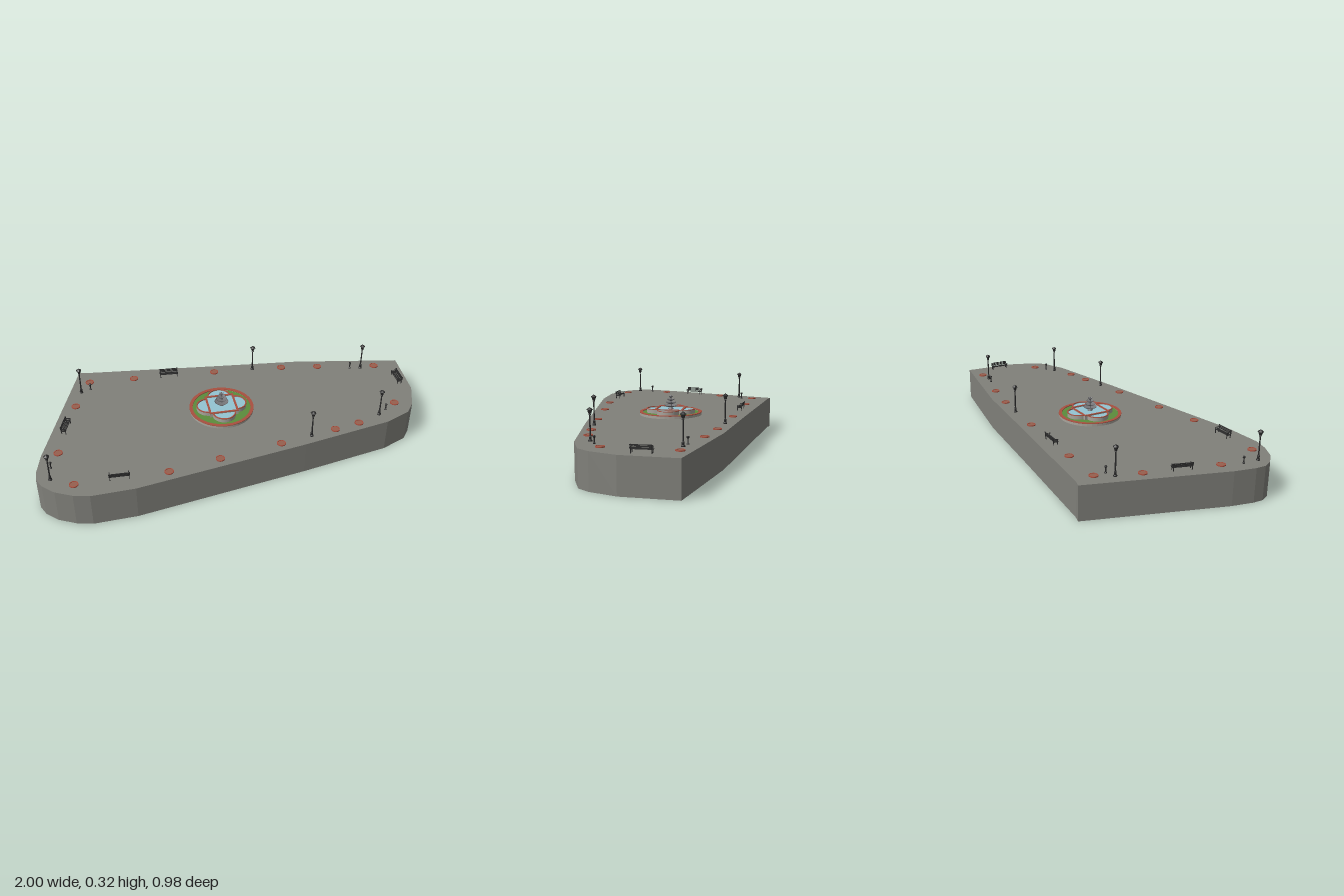
import * as THREE from 'three';

const mat = (color, flat = false) =>
  new THREE.MeshStandardMaterial({ color, flatShading: flat, side: THREE.DoubleSide });
const stone = mat(0x80807a, true), wall = mat(0xa8a49c), iron = mat(0x2b2b2b, true), metal = mat(0x77777a);
const brick = mat(0xa8503f), clay = mat(0x96604f), grass = mat(0x5c8c3c), water = mat(0x94c4d2);
const TOP = 0.168;

function add(parent, name, geo, material, x = 0, y = 0, z = 0) {
  const m = new THREE.Mesh(geo, material);
  m.name = name;
  m.position.set(x, y, z);
  parent.add(m);
  return m;
}
const group = (parent, name, x, y, z, turn = 0) => {
  const g = new THREE.Group();
  g.name = name;
  g.position.set(x, y, z);
  g.rotation.y = turn;
  parent.add(g);
  return g;
};
const box = (w, h, d) => new THREE.BoxGeometry(w, h, d);
const cyl = (r1, r2, h, n = 16) => new THREE.CylinderGeometry(r1, r2, h, n);
const lathe = (pts, n) => new THREE.LatheGeometry(pts.map(p => new THREE.Vector2(...p)), n);
// Plan shape raised upright by height h
const rise = (shape, h) =>
  new THREE.ExtrudeGeometry(shape, { depth: h, bevelEnabled: false, curveSegments: 20 }).rotateX(-Math.PI / 2);

// Flat ring with rectangular section
function ring(r, w, h) {
  const s = new THREE.Shape().absarc(0, 0, r, 0, Math.PI * 2, false);
  s.holes.push(new THREE.Path().absarc(0, 0, r - w, 0, Math.PI * 2, true));
  return rise(s, h);
}

// Half-round band for the petal basins
function arcBand(r, w, h) {
  const s = new THREE.Shape();
  s.absarc(0, 0, r, 0, Math.PI, false);
  s.absarc(0, 0, r - w, Math.PI, 0, true);
  s.closePath();
  return rise(s, h);
}

function fountain(root) {
  const f = group(root, 'fountain', -0.04, TOP, 0.08, -0.17);
  // Round planted bed
  add(f, 'bedWall', ring(0.158, 0.012, 0.013), wall);
  add(f, 'bedRim', ring(0.16, 0.016, 0.003), brick, 0, 0.013, 0);
  add(f, 'lawn', cyl(0.147, 0.147, 0.01, 48), grass, 0, 0.005, 0);
  // Four petal basins around a square one
  const half = 0.068, r = 0.057;
  for (let i = 0; i < 4; i++) {
    const p = group(f, 'petalBasin', 0, 0, 0, i * Math.PI / 2);
    add(p, 'petalWall', arcBand(r, 0.005, 0.029), wall, 0, 0, -half);
    add(p, 'petalRim', arcBand(r + 0.001, 0.006, 0.003), brick, 0, 0.029, -half);
    const pool = new THREE.Shape().absarc(0, 0, r - 0.004, 0, Math.PI, false);
    add(p, 'petalWater', rise(pool, 0.026), water, 0, 0, -half);
    add(p, 'squareWall', box(half * 2 + 0.006, 0.031, 0.006), wall, 0, 0.0155, -half);
    add(p, 'squareRim', box(half * 2 + 0.01, 0.003, 0.01), brick, 0, 0.0325, -half);
  }
  add(f, 'squareWater', box(half * 2, 0.027, half * 2), water, 0, 0.0135, 0);
  // Tiered bowls on a central stem
  add(f, 'stem', lathe([[0, 0.02], [0.014, 0.02], [0.014, 0.031], [0.006, 0.037], [0.005, 0.06],
    [0.003, 0.085], [0.003, 0.094], [0.004, 0.096], [0, 0.101]], 16), metal);
  [[0.034, 0.037], [0.027, 0.053], [0.019, 0.069], [0.011, 0.084]].forEach(([R, y]) =>
    add(f, 'bowl', lathe([[0.003, 0], [R * 0.5, 0.002], [R * 0.85, 0.006], [R, 0.01],
      [R * 0.93, 0.01], [R * 0.75, 0.006], [0.003, 0.004]], 24), metal, 0, y, 0));
}

function lamp(root, x, z) {
  const l = group(root, 'streetLamp', x, TOP, z);
  add(l, 'lampPost', lathe([[0, 0], [0.009, 0], [0.009, 0.005], [0.006, 0.008], [0.006, 0.02],
    [0.0035, 0.026], [0.003, 0.112], [0.006, 0.115], [0.003, 0.119], [0, 0.119]], 10), iron);
  add(l, 'lantern', cyl(0.011, 0.006, 0.017, 6), iron, 0, 0.1275, 0);
  add(l, 'lanternCap', lathe([[0.0135, 0.135], [0.0135, 0.137], [0.006, 0.143], [0.002, 0.145], [0, 0.149]], 6), iron);
}

function bench(root, x, z, turn) {
  const b = group(root, 'bench', x, TOP, z, turn);
  for (let i = 0; i < 4; i++)
    add(b, 'seatSlat', box(0.096, 0.002, 0.004), iron, 0, 0.018, -0.007 + i * 0.0058);
  for (let i = 0; i < 3; i++)
    add(b, 'backSlat', box(0.096, 0.0042, 0.002), iron, 0, 0.024 + i * 0.006, -0.01 - i * 0.0012);
  for (const s of [-1, 1]) {
    const e = group(b, 'benchEnd', s * 0.043, 0, 0);
    add(e, 'frontLeg', box(0.003, 0.027, 0.003), iron, 0, 0.0135, 0.011);
    add(e, 'backLeg', box(0.003, 0.04, 0.003), iron, 0, 0.019, -0.011).rotation.x = -0.12;
    add(e, 'seatRail', box(0.003, 0.003, 0.023), iron, 0, 0.0155, 0);
    add(e, 'armrest', box(0.004, 0.002, 0.026), iron, 0, 0.028, 0.001);
  }
}

// Small pedestal with a shallow dish
function pedestal(root, x, z) {
  add(root, 'pedestal', lathe([[0, 0], [0.006, 0], [0.006, 0.003], [0.003, 0.006], [0.003, 0.024],
    [0.0065, 0.029], [0.0065, 0.033], [0.004, 0.035], [0, 0.035]], 10), iron, x, TOP, z);
}

function treePit(root, x, z) {
  const t = group(root, 'treePit', x, TOP, z);
  add(t, 'pitRim', ring(0.021, 0.004, 0.005), brick);
  add(t, 'pitFill', cyl(0.018, 0.018, 0.003, 20), clay, 0, 0.0015, 0);
}

export function createModel() {
  const root = new THREE.Group();
  root.name = 'plaza';

  // Paved slab
  const outline = [[-0.63, -0.49], [-0.6, -0.475], [0, -0.305], [0.48, -0.172], [0.82, -0.05], [1, 0.015],
    [0.94, 0.27], [0.87, 0.39], [0.815, 0.44], [0.68, 0.473], [0.23, 0.484], [-0.6, 0.486], [-0.8, 0.46],
    [-0.87, 0.43], [-0.94, 0.38], [-0.985, 0.32], [-1, 0.27], [-0.99, 0.22], [-0.95, 0.12]];
  const plan = new THREE.Shape(outline.map(([x, z]) => new THREE.Vector2(x, -z)));
  add(root, 'slab', rise(plan, TOP), stone);

  fountain(root);
  [[-0.66, -0.31], [0.24, -0.187], [0.785, 0.01], [0.67, 0.405], [0.284, 0.435], [-0.94, 0.293]]
    .forEach(p => lamp(root, ...p));
  [[-0.61, -0.32], [0.732, -0.01], [0.72, 0.382], [-0.922, 0.215]].forEach(p => pedestal(root, ...p));
  [[-0.195, -0.29, -0.22], [-0.65, 0.395, Math.PI - 0.2], [-0.797, -0.045, 1.1], [0.91, 0.172, -1.75]]
    .forEach(p => bench(root, ...p));
  [[-0.6, -0.38], [-0.375, -0.33], [0.04, -0.235], [0.39, -0.145], [0.575, -0.083], [0.862, 0.02],
    [0.79, 0.35], [0.543, 0.43], [0.412, 0.433], [0.125, 0.436], [-0.183, 0.434], [-0.43, 0.434],
    [-0.85, 0.363], [-0.87, 0.125], [-0.714, -0.2]].forEach(p => treePit(root, ...p));
  return root;
}
